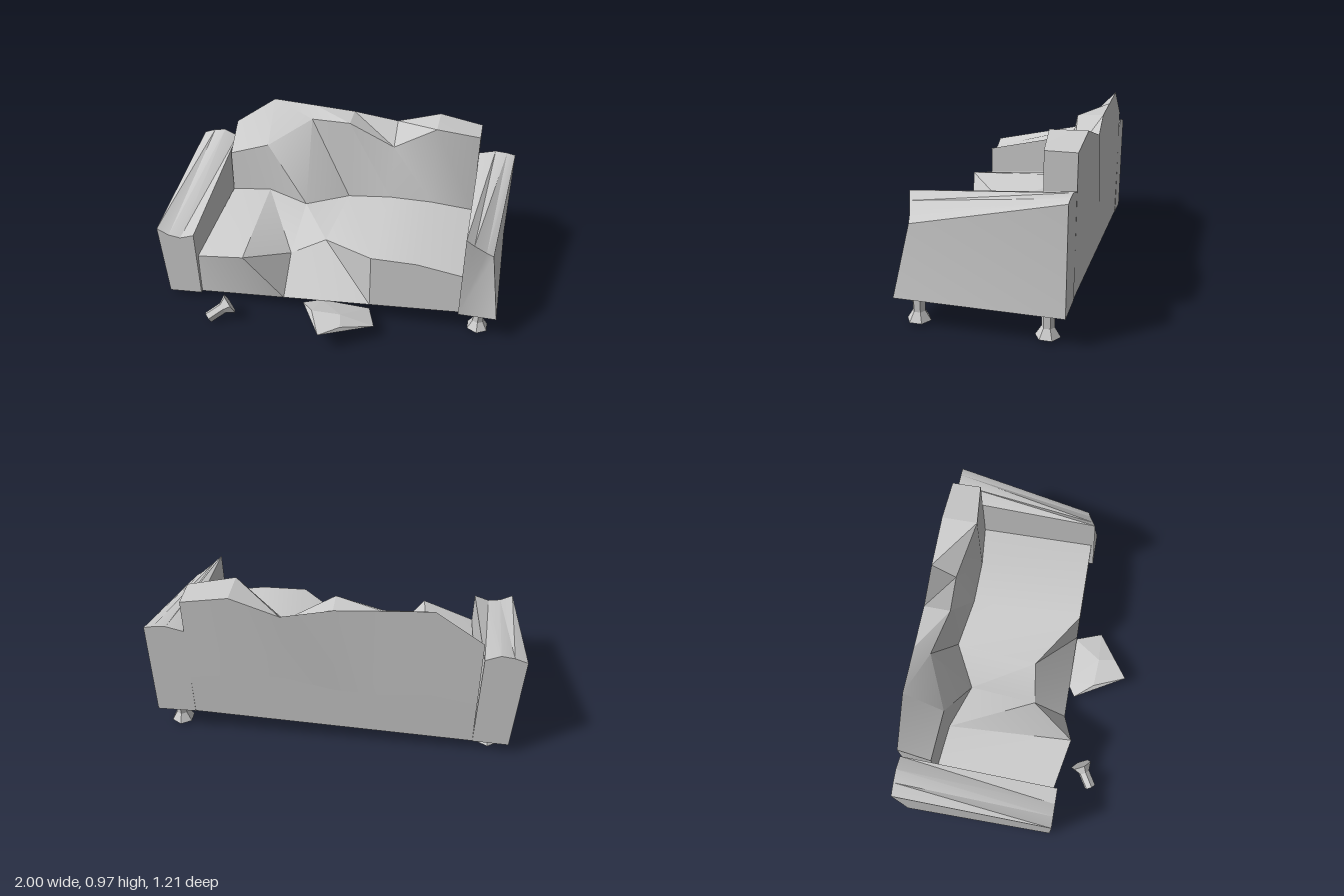
import * as THREE from 'three';
import { toCreasedNormals } from 'three/addons/utils/BufferGeometryUtils.js';
import { ConvexGeometry } from 'three/addons/geometries/ConvexGeometry.js';

const fabric = new THREE.MeshStandardMaterial({ color: 0xcccccc });
const faceted = new THREE.MeshStandardMaterial({ color: 0xcccccc, flatShading: true });

function add(parent, name, geometry, material) {
  const mesh = new THREE.Mesh(geometry, material);
  mesh.name = name;
  parent.add(mesh);
  return mesh;
}

// Skin a row of matching cross-sections and close both ends
function loft(sections) {
  const n = sections[0].length;
  const index = [];
  for (let j = 0; j < sections.length - 1; j++) {
    for (let i = 0; i < n; i++) {
      const a = j * n + i, b = j * n + (i + 1) % n;
      index.push(a, b, b + n, a, b + n, a + n);
    }
  }
  const last = (sections.length - 1) * n;
  for (let i = 1; i < n - 1; i++) {
    index.push(0, i + 1, i, last, last + i, last + i + 1);
  }
  const g = new THREE.BufferGeometry();
  g.setAttribute('position', new THREE.Float32BufferAttribute(sections.flat(2), 3));
  g.setIndex(index);
  return toCreasedNormals(g, 0.45);
}

// Hexagonal leg with a flared foot, standing on its own origin
function legGeometry() {
  const profile = [[0, 0], [0.065, 0], [0.034, 0.05], [0.034, 0.15], [0, 0.15]];
  return new THREE.LatheGeometry(profile.map(p => new THREE.Vector2(...p)), 6);
}

export function createModel() {
  const group = new THREE.Group();
  group.name = 'brokenSofa';

  // Stations across the sofa; each pair is [y, z]
  const stations = [
    // x, seat front, seat back, backrest front top, backrest rear top
    [-0.77, [0.305, 0.26], [0.36, -0.42], [0.63, -0.42], [0.775, -0.585]],
    [-0.51, [0.385, 0.32], [0.41, -0.39], [0.735, -0.39], [0.96, -0.585]],
    [-0.25, [0.275, 0.07], [0.385, -0.31], [0.89, -0.5], [0.945, -0.585]],
    [0.0, [0.385, 0.04], [0.4, -0.44], [0.92, -0.44], [0.93, -0.585]],
    [0.27, [0.46, 0.26], [0.46, -0.39], [0.77, -0.475], [0.885, -0.605]],
    [0.53, [0.46, 0.26], [0.46, -0.39], [0.965, -0.39], [0.97, -0.59]],
    [0.785, [0.42, 0.26], [0.42, -0.42], [0.925, -0.42], [0.925, -0.585]],
  ];
  const seatFrontX = { '-0.51': -0.47, 0: -0.04 };

  // Sagging seat, its underside tilted towards the missing leg
  add(group, 'seat', loft(stations.map(([x, front, back]) => {
    const t = (x + 0.77) / 1.555;
    return [
      [x, 0.04 + 0.125 * t, 0.262],
      [x, 0.09 + 0.08 * t, -0.58],
      [x, back[0], -0.583],
      [x, ...back],
      [seatFrontX[x] ?? x, ...front],
    ];
  })), fabric);

  // Dented backrest
  add(group, 'backrest', loft(stations.map(([x, , back, top, rear]) => [
    [x, ...back], [x, back[0], -0.583], [x, ...rear], [x, ...top],
  ])), fabric);

  // Sunken right arm
  add(group, 'rightArm', loft([
    [[-0.97, 0.08, -0.583], [-0.77, 0.09, -0.583], [-0.78, 0.67, -0.583],
      [-0.86, 0.705, -0.583], [-0.93, 0.695, -0.583], [-1, 0.67, -0.583]],
    [[-0.97, 0.025, 0.28], [-0.768, 0.04, 0.28], [-0.775, 0.47, 0.285],
      [-0.86, 0.44, 0.285], [-0.93, 0.45, 0.285], [-1, 0.485, 0.285]],
  ]), fabric);

  // Left arm, crushed at its front outer corner
  add(group, 'leftArm', loft([
    [[0.785, 0.17, -0.583], [1, 0.17, -0.583], [1, 0.745, -0.583],
      [0.95, 0.755, -0.583], [0.88, 0.76, -0.583], [0.785, 0.735, -0.583]],
    [[0.785, 0.17, 0.288], [1, 0.17, 0.288], [0.94, 0.55, 0.215],
      [0.9, 0.575, 0.225], [0.83, 0.63, 0.25], [0.785, 0.67, 0.265]],
  ]), fabric);

  // Legs still in place
  const leg = legGeometry();
  const places = { leftFrontLeg: [0.9, 0.19], leftBackLeg: [0.9, -0.48], rightBackLeg: [-0.86, -0.48] };
  for (const [name, [x, z]] of Object.entries(places)) {
    add(group, name, leg, faceted).position.set(x, 0.02, z);
  }

  // Snapped-off leg lying in front
  const fallen = add(group, 'fallenLeg', leg, faceted);
  fallen.position.set(-0.54, 0.1, 0.405);
  fallen.quaternion.setFromUnitVectors(
    new THREE.Vector3(0, 1, 0), new THREE.Vector3(-0.11, -0.065, 0.075).normalize());

  // Torn piece of seat cushion on the floor
  const chunk = [
    [0.04, 0.14, 0.6], [0.15, 0.15, 0.52], [0.325, 0.1, 0.415], [0.27, 0.09, 0.255],
    [-0.02, 0.09, 0.24], [-0.12, 0.1, 0.3], [-0.04, 0.145, 0.41], [0.13, 0.155, 0.42],
    [-0.05, 0.03, 0.36], [0, 0.02, 0.4], [0.23, 0.005, 0.26], [0.29, 0.03, 0.33],
  ];
  add(group, 'tornCushionPiece',
    new ConvexGeometry(chunk.map(p => new THREE.Vector3(...p))), faceted);

  return group;
}
